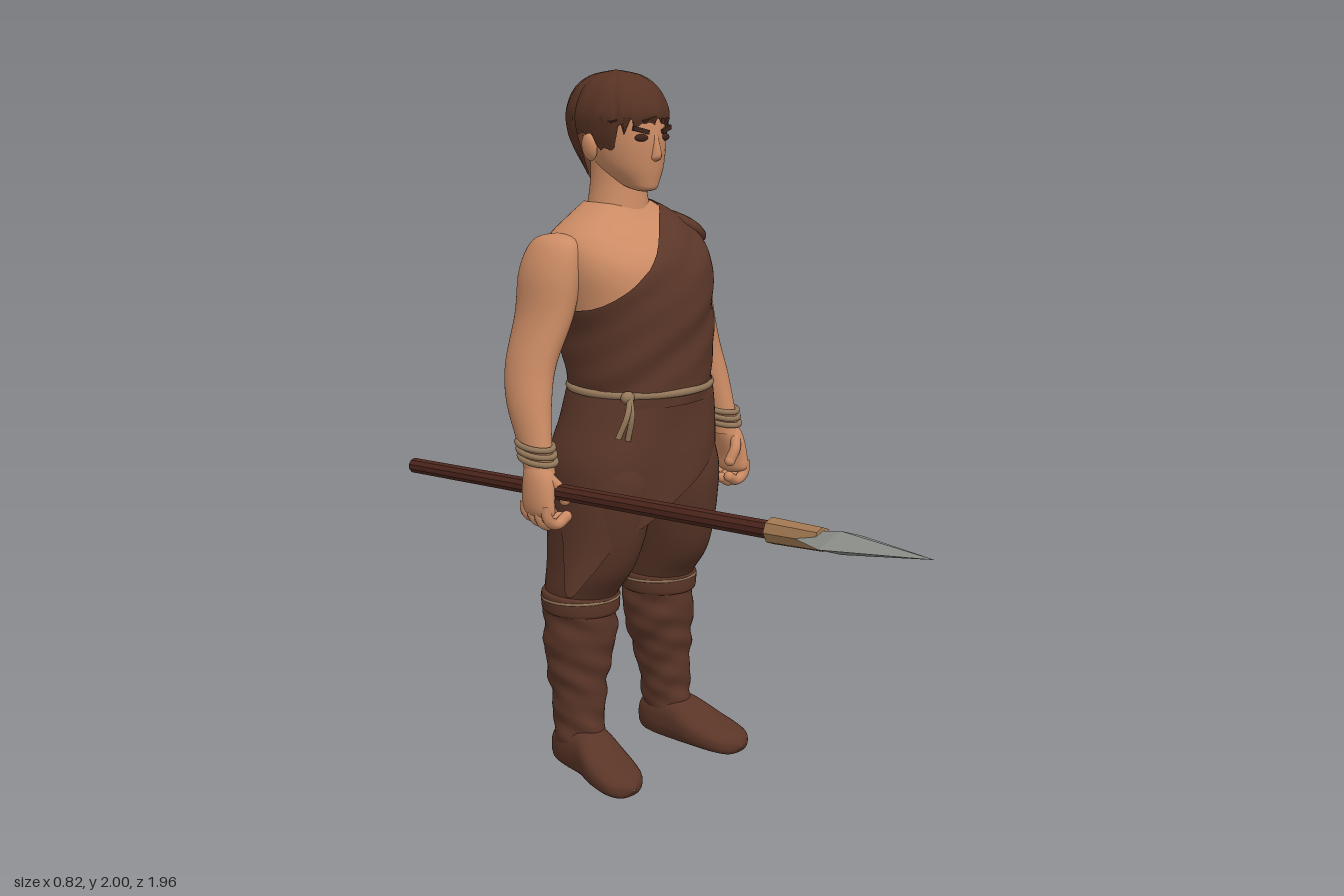
import * as THREE from 'three';

const mat = (name, color, side = THREE.FrontSide) => {
  const m = new THREE.MeshStandardMaterial({ color, side });
  m.name = name;
  return m;
};

// Catmull-Rom sample of a section list; each section is [y, centreX, centreZ, radiusX, radiusZ]
function sample(secs, v) {
  const n = secs.length - 1, f = Math.min(v, 0.99999) * n, i = Math.floor(f), t = f - i;
  const g = k => secs[Math.max(0, Math.min(n, k))];
  return secs[0].map((_, c) => {
    const a = g(i - 1)[c], b = g(i)[c], d = g(i + 1)[c], e = g(i + 2)[c];
    return b + 0.5 * t * (d - a + t * (2 * a - 5 * b + 4 * d - e + t * (3 * (b - d) + e - a)));
  });
}

// Loft through sections listed upward; keep() trims each column, fold() ripples the surface
function loft(secs, { power = 2, seg = 40, rows = 32, grow = 0, keep = null, fold = null } = {}) {
  const point = (a, v) => {
    const [y, cx, cz, rx, rz] = sample(secs, v);
    const c = Math.cos(a), s = Math.sin(a), e = 2 / power;
    const f = grow + (fold ? fold(a, y, cx + rx * c) : 0);
    const r = q => Math.max(0.001, q + (q > 0.01 ? f : 0));
    return [cx + r(rx) * Math.sign(c) * Math.abs(c) ** e, y, cz + r(rz) * Math.sign(s) * Math.abs(s) ** e];
  };
  const pos = [], idx = [], range = [];
  for (let i = 0; i < seg; i++) {
    const a = i / seg * Math.PI * 2;
    let lo = 0, hi = 1;
    if (keep) {
      while (lo < 1 && !keep(...point(a, lo))) lo += 0.004;
      while (hi > lo && !keep(...point(a, hi))) hi -= 0.004;
    }
    range.push([a, lo, hi]);
  }
  for (let j = 0; j <= rows; j++)
    for (const [a, lo, hi] of range) pos.push(...point(a, lo + (hi - lo) * j / rows));
  for (let j = 0; j < rows; j++)
    for (let i = 0; i < seg; i++) {
      const k = (i + 1) % seg, a = j * seg + i, b = j * seg + k;
      idx.push(a, a + seg, b, b, a + seg, b + seg);
    }
  const g = new THREE.BufferGeometry();
  g.setAttribute('position', new THREE.Float32BufferAttribute(pos, 3));
  g.setIndex(idx);
  g.computeVertexNormals();
  return g;
}

const tube = (pts, r, closed = false, seg = 24) => new THREE.TubeGeometry(
  new THREE.CatmullRomCurve3(pts.map(p => new THREE.Vector3(...p)), closed), seg, r, 8, closed);
const ring = (cx, y, cz, rx, rz, r, tilt = 0) => tube(Array.from({ length: 24 }, (_, i) => {
  const a = -i / 24 * Math.PI * 2;
  return [cx + rx * Math.cos(a), y + tilt * Math.sin(a), cz + rz * Math.sin(a)];
}), r, true, 48);
const flat = g => { const f = g.toNonIndexed(); f.computeVertexNormals(); return f; };

export function createModel() {
  const root = new THREE.Group();
  const skin = mat('skin', 0xcb8b64), cloth = mat('brown cloth', 0x5a3628, THREE.DoubleSide);
  const hair = mat('dark hair', 0x563223, THREE.DoubleSide), leather = mat('boot leather', 0x5a3527);
  const rope = mat('rope', 0x94785a), wood = mat('dark wood', 0x4e271d);
  const wrap = mat('spear binding', 0xa47a52), metal = mat('grey metal', 0x8a8c87);
  const dark = mat('eye brown', 0x3e241c);
  const add = (name, geo, m, parent = root) => {
    const mesh = new THREE.Mesh(geo, m);
    mesh.name = name;
    parent.add(mesh);
    return mesh;
  };
  const ball = (name, m, p, s) => {
    const b = add(name, new THREE.SphereGeometry(1, 20, 14), m);
    b.position.set(...p);
    b.scale.set(...s);
    return b;
  };

  // Torso, bare over the right shoulder
  const torso = [[1.1, .01, -.345, .195, .172], [1.25, .008, -.355, .205, .185], [1.38, .003, -.378, .22, .21],
    [1.48, .002, -.39, .232, .2], [1.55, .005, -.41, .222, .16], [1.6, .01, -.425, .165, .115], [1.645, .005, -.43, .09, .085]];
  add('torso', loft(torso, { power: 2.3 }), skin);
  add('neck', loft([[1.55, 0, -.425, .11, .1], [1.63, 0, -.42, .088, .088], [1.7, 0, -.42, .075, .08], [1.78, 0, -.42, .072, .08]]), skin);

  // One-shoulder tunic with diagonal neckline and folds
  add('tunic', loft(torso, {
    power: 2.3, seg: 72, rows: 44, grow: .008, keep: (x, y) => y < 1.56 + .85 * x,
    fold: (a, y, x) => .003 * Math.sin(34 * (y - .75 * x)) + .002 * Math.sin(60 * (y - .4 * x) + 3 * a),
  }), cloth);
  ball('tunicShoulder', cloth, [.2, 1.56, -.427], [.108, .04, .115]).rotation.z = -.45;

  // Wrap skirt with a slanting hem and a point at the right hip
  const hem = (x, z) => {
    const w = THREE.MathUtils.smoothstep(z, -.48, -.32);
    return w * (.84 + .62 * x - 1.1 * Math.max(0, -x - .19)) + (1 - w) * (.95 + .15 * x);
  };
  add('skirt', loft([[.57, -.015, -.36, .27, .15], [.7, -.005, -.365, .255, .18], [.85, 0, -.367, .258, .195], [.95, 0, -.37, .257, .202],
    [1.05, .008, -.357, .235, .186], [1.15, .01, -.347, .207, .178]], {
    power: 2.2, seg: 96, keep: (x, y, z) => y > hem(x, z),
    fold: (a, y) => .003 * Math.sin(6 * a + 14 * y),
  }), cloth);

  // Rope belt, knot and hanging ends
  add('ropeBelt', ring(.01, 1.14, -.347, .211, .184, .011, -.004), rope);
  ball('beltKnot', rope, [-.155, 1.135, -.215], [.02, .018, .018]);
  for (const [x, y] of [[-.2, 1.03], [-.165, 1.02]])
    add('ropeEnd', tube([[-.155, 1.135, -.205], [(x - .16) / 2, 1.09, -.19], [x, y, -.205]], .008), rope);

  // Trousers seat
  add('trouserSeat', loft([[.77, 0, -.38, .02, .05], [.81, 0, -.38, .1, .11], [.88, 0, -.378, .21, .168],
    [.97, 0, -.375, .245, .192], [1.05, .008, -.357, .222, .175], [1.13, .01, -.347, .195, .168]]), cloth);

  for (const s of [1, -1]) {
    const side = s > 0 ? 'left' : 'right';
    const mirror = secs => secs.map(([y, cx, ...r]) => [y, s * cx, ...r]);

    // Trouser leg
    add(side + 'TrouserLeg', loft(mirror([[.48, .15, -.438, .085, .1], [.54, .15, -.434, .098, .115], [.62, .145, -.402, .103, .147],
      [.7, .138, -.385, .112, .165], [.8, .13, -.377, .123, .18], [.9, .128, -.375, .122, .187], [1, .12, -.37, .1, .165]])), cloth);

    // Slouched boot shaft and cuff
    add(side + 'BootShaft', loft(mirror([[.03, .178, -.43, .06, .075], [.12, .175, -.428, .066, .083], [.2, .17, -.432, .07, .085],
      [.3, .164, -.44, .084, .098], [.4, .154, -.44, .102, .11], [.48, .152, -.438, .1, .113], [.535, .152, -.436, .104, .118]]), {
      rows: 60, fold: (a, y) => .003 * Math.sin(62 * y + 2 * Math.sin(a * 2 + s) + a * s) + .002 * Math.sin(95 * y - 3 * a),
    }), leather);
    add(side + 'BootCuff', loft(mirror([[.485, .152, -.437, .09, .105], [.49, .152, -.437, .106, .12], [.535, .152, -.436, .107, .121],
      [.545, .152, -.436, .096, .11]]), { rows: 16 }), leather);
    add(side + 'BootCord', ring(s * .152, .525, -.436, .105, .119, .0045, .006), rope);

    // Foot, lofted from heel to toe and turned outward
    const foot = loft(mirror([[-.513, .172, -.06, .002, .002], [-.505, .172, -.06, .045, .052], [-.45, .174, -.07, .066, .07],
      [-.36, .182, -.069, .068, .07], [-.28, .197, -.052, .077, .05], [-.2, .21, -.038, .07, .036],
      [-.16, .214, -.032, .045, .027], [-.142, .215, -.03, .002, .002]]), { power: 2.5 });
    add(side + 'Foot', foot.rotateX(Math.PI / 2), leather);

    // Arm
    add(side + 'Arm', loft(mirror([[.94, .354, -.352, .036, .05], [1.01, .35, -.376, .039, .057], [1.12, .336, -.415, .052, .075],
      [1.22, .31, -.436, .058, .085], [1.35, .262, -.433, .064, .1], [1.47, .24, -.43, .07, .103],
      [1.55, .222, -.425, .05, .075], [1.57, .215, -.425, .002, .002]])), skin);

    // Wrist cords
    for (let i = 0; i < 3; i++)
      add(side + 'WristCord', ring(s * .352, .975 + i * .019, -.362 - i * .005, .042, .058, .0085, -.008), rope);

    // Hand with curled fingers
    add(side + 'Palm', loft(mirror([[.815, .365, -.34, .002, .002], [.83, .369, -.34, .024, .056], [.87, .37, -.342, .03, .06],
      [.93, .361, -.348, .035, .054], [.97, .354, -.358, .03, .04]])), skin);
    for (let i = 0; i < 4; i++) {
      const z = -.295 - i * .031, d = Math.abs(i - 1.2) * .008;
      add(side + 'Finger', tube([[s * .378, .86, z], [s * .375, .81 + d, z], [s * .345, .792 + d, z], [s * .312, .808 + d, z]], .0155), skin);
      ball(side + 'Fingertip', skin, [s * .312, .808 + d, z], [.0155, .0155, .0155]);
    }
    add(side + 'Thumb', tube([[s * .355, .93, -.31], [s * .335, .9, -.292], [s * .316, .865, -.295]], .016), skin);
    ball(side + 'ThumbTip', skin, [s * .316, .865, -.295], [.016, .016, .016]);

    // Ear, eye and brow
    ball(side + 'Ear', skin, [s * .105, 1.795, -.415], [.016, .038, .026]).rotation.z = -s * .15;
    ball(side + 'Eye', dark, [s * .043, 1.822, -.272], [.02, .01, .007]).rotation.y = s * .3;
    const brow = add(side + 'Brow', new THREE.BoxGeometry(.048, .012, .009), dark);
    brow.position.set(s * .045, 1.842, -.271);
    brow.rotation.set(0, s * .3, s * .25);
  }

  // Head
  add('head', loft([[1.675, 0, -.31, .002, .002], [1.682, 0, -.312, .032, .034], [1.705, 0, -.34, .056, .07], [1.75, 0, -.37, .084, .107],
    [1.82, 0, -.39, .098, .131], [1.9, 0, -.405, .1, .13], [1.95, 0, -.41, .07, .09], [1.97, 0, -.41, .002, .002]]), skin);
  add('nose', loft([[1.757, 0, -.266, .002, .002], [1.765, 0, -.265, .015, .015], [1.778, 0, -.264, .015, .019],
    [1.81, 0, -.265, .01, .013], [1.84, 0, -.27, .008, .008]], { seg: 16, rows: 16 }), skin);

  // Cropped hair with jagged edge
  const hairline = (x, y, z) => {
    const jag = .008 * Math.sin(x * 150) + .005 * Math.sin(z * 190);
    const base = z > -.33 ? 1.862 : z > -.385 ? 1.795 : z > -.445 ? 1.83 : 1.71;
    return y > base + jag;
  };
  add('hair', loft([[1.69, 0, -.415, .078, .065], [1.745, 0, -.42, .095, .1], [1.79, 0, -.42, .112, .13], [1.835, 0, -.42, .126, .149],
    [1.89, 0, -.418, .131, .156], [1.95, 0, -.42, .107, .125], [1.985, 0, -.42, .064, .075], [2, 0, -.42, .001, .001]], {
    seg: 80, keep: hairline, fold: (a, y) => .0015 * Math.sin(14 * a + 30 * y),
  }), hair);
  for (let i = 0; i < 13; i++) {
    const a = Math.PI * (.06 + .88 * i / 12), len = .04 + .018 * Math.sin(i * 2.4);
    const lock = add('fringeLock', new THREE.ConeGeometry(.018, len, 6), hair);
    lock.position.set(.114 * Math.cos(a), 1.866 - len * .3, -.412 + .138 * Math.sin(a));
    lock.rotation.set(Math.PI, 0, .3 * Math.sin(i * 1.7));
  }

  // Spear held level in the right hand
  const spear = new THREE.Group();
  spear.name = 'spear';
  spear.position.set(-.335, .912, 0);
  spear.rotation.x = Math.PI / 2 - .069;
  root.add(spear);
  const rod = (name, r1, r2, from, to, sides, m, sx = 1, sz = 1) => {
    const g = flat(new THREE.CylinderGeometry(r1, r2, to - from, sides));
    add(name, g.scale(sx, 1, sz).translate(0, (from + to) / 2, 0), m, spear);
  };
  rod('spearShaft', .023, .023, -.98, .62, 10, wood);
  rod('spearBinding', .029, .033, .5, .66, 8, wrap);
  rod('spearHeadTip', 0, 1, .715, .982, 4, metal, .078, .028);
  rod('spearHeadBase', 1, .4, .6, .715, 4, metal, .078, .028);
  return root;
}
